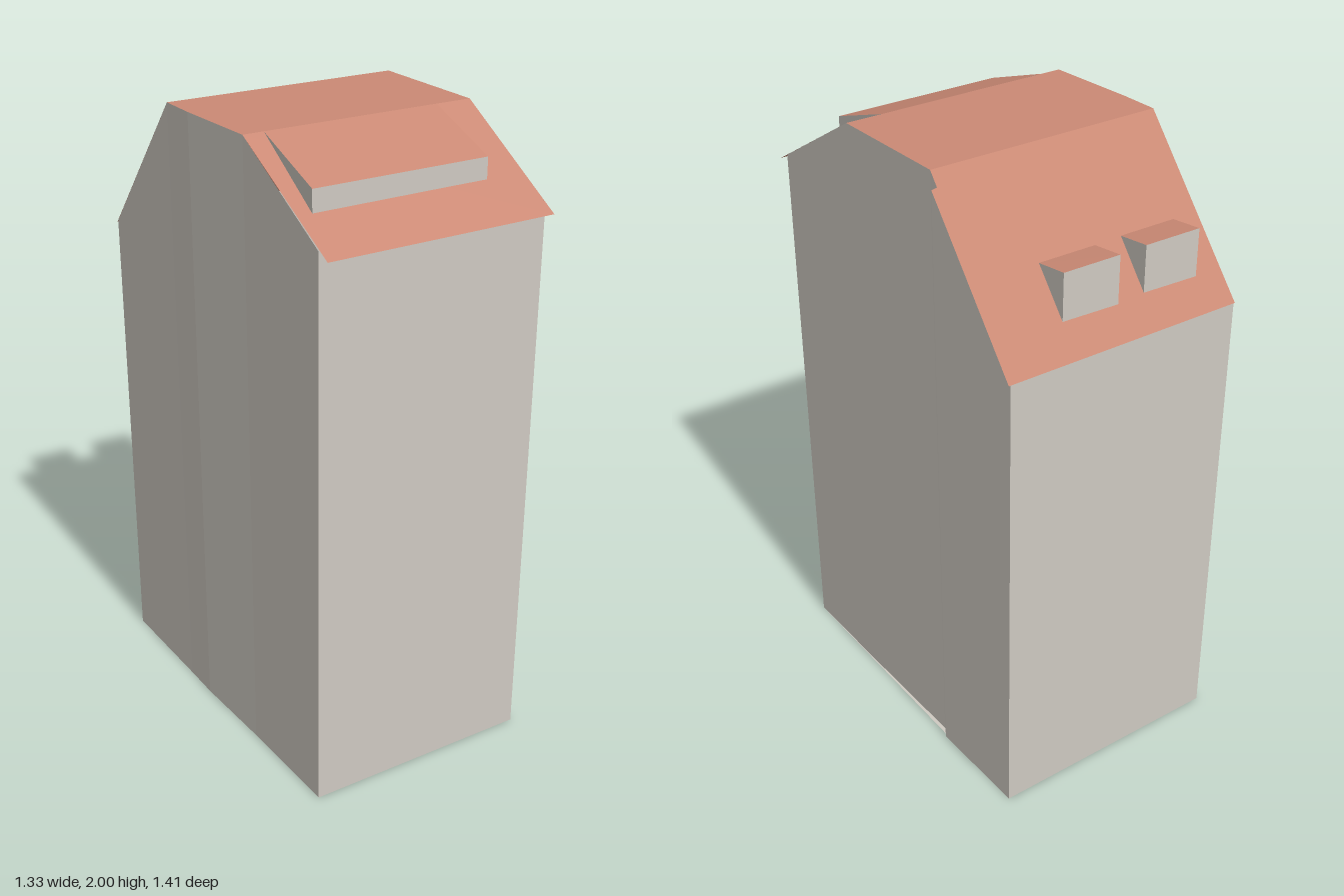
import * as THREE from 'three';

const wallMat = new THREE.MeshStandardMaterial({ color: 0xcfcac2, side: THREE.DoubleSide });
wallMat.name = 'warm grey render';
const roofMat = new THREE.MeshStandardMaterial({ color: 0xcb8a75, side: THREE.DoubleSide });
roofMat.name = 'terracotta roof';

// Roof height over a plan point: flat between two ridges, sloping to front and back
function roofY([x, z]) {
  const s = x * 0.545 + z * 0.838;
  if (s > 0.212) return 2 - 0.24 * (s - 0.207) / 0.403;
  if (s < -0.21) return 2 - 0.47 * (-s - 0.207) / 0.383;
  return 2;
}

const at = (p, y) => [p[0], y, p[1]];
const onRoof = (p) => at(p, roofY(p));

// Mesh of flat polygons, each cut into a fan of triangles
function faces(name, polygons, material) {
  const pos = [];
  for (const poly of polygons) {
    for (let i = 1; i < poly.length - 1; i++) pos.push(...poly[0], ...poly[i], ...poly[i + 1]);
  }
  const geo = new THREE.BufferGeometry();
  geo.setAttribute('position', new THREE.Float32BufferAttribute(pos, 3));
  geo.computeVertexNormals();
  const mesh = new THREE.Mesh(geo, material);
  mesh.name = name;
  return mesh;
}

// Shed dormer; plan corners run inner, outer, outer, inner
function dormer(name, [i1, o1, o2, i2], topY) {
  const group = new THREE.Group();
  group.name = name;
  const t1 = at(o1, topY), t2 = at(o2, topY);
  group.add(
    faces('dormerWalls', [
      [onRoof(o1), onRoof(o2), t2, t1],
      [onRoof(i1), onRoof(o1), t1],
      [onRoof(o2), onRoof(i2), t2],
    ], wallMat),
    faces('dormerRoof', [[onRoof(i1), t1, t2, onRoof(i2)]], roofMat),
  );
  return group;
}

export function createModel() {
  const model = new THREE.Group();
  model.name = 'townHouse';

  // Plan points as [x, z]
  const backRidgeL = [-0.442, 0.041], bend = [-0.37, 0.146], frontRidgeL = [-0.195, 0.378];
  const frontRidgeR = [0.435, -0.037], backRidgeR = [0.2, -0.378];
  const notchIn = [0.183, -0.404], notchOut = [0.198, -0.416];

  // Walls follow the plan and rise to the roof
  const plan = [
    [-0.66, -0.27], backRidgeL, bend, frontRidgeL, [0.02, 0.675], [0.64, 0.265],
    frontRidgeR, backRidgeR, notchIn, notchOut, [0.002, -0.7],
  ];
  model.add(faces('walls', plan.map((p, i) => {
    const q = plan[(i + 1) % plan.length];
    return [at(p, 0), at(q, 0), onRoof(q), onRoof(p)];
  }), wallMat));
  model.add(faces('floor', [plan.map((p) => at(p, 0)).reverse()], wallMat));

  // Roof planes, overhanging slightly at the eaves
  model.add(faces('flatRoof', [
    [backRidgeL, bend, frontRidgeL, frontRidgeR, backRidgeR].map((p) => at(p, 2)),
  ], roofMat));
  model.add(faces('frontRoofSlope', [
    [frontRidgeL, [0.045, 0.702], [0.663, 0.296], frontRidgeR].map(onRoof),
  ], roofMat));
  model.add(faces('backRoofSlope', [
    [[-0.663, -0.273], backRidgeL, backRidgeR, notchIn, notchOut, [0.007, -0.708]].map(onRoof),
  ], roofMat));

  // One wide dormer at the front, two small ones at the back
  model.add(dormer('frontDormer',
    [[-0.14, 0.342], [0, 0.563], [0.475, 0.25], [0.337, 0.027]], 1.91));
  const small = [[-0.086, -0.434], [-0.146, -0.524], [-0.307, -0.423], [-0.247, -0.33]];
  [0, 1].forEach((k) => model.add(dormer('backDormer' + (k + 1),
    small.map(([x, z]) => [x - 0.238 * k, z + 0.156 * k]), 1.765)));

  return model;
}
